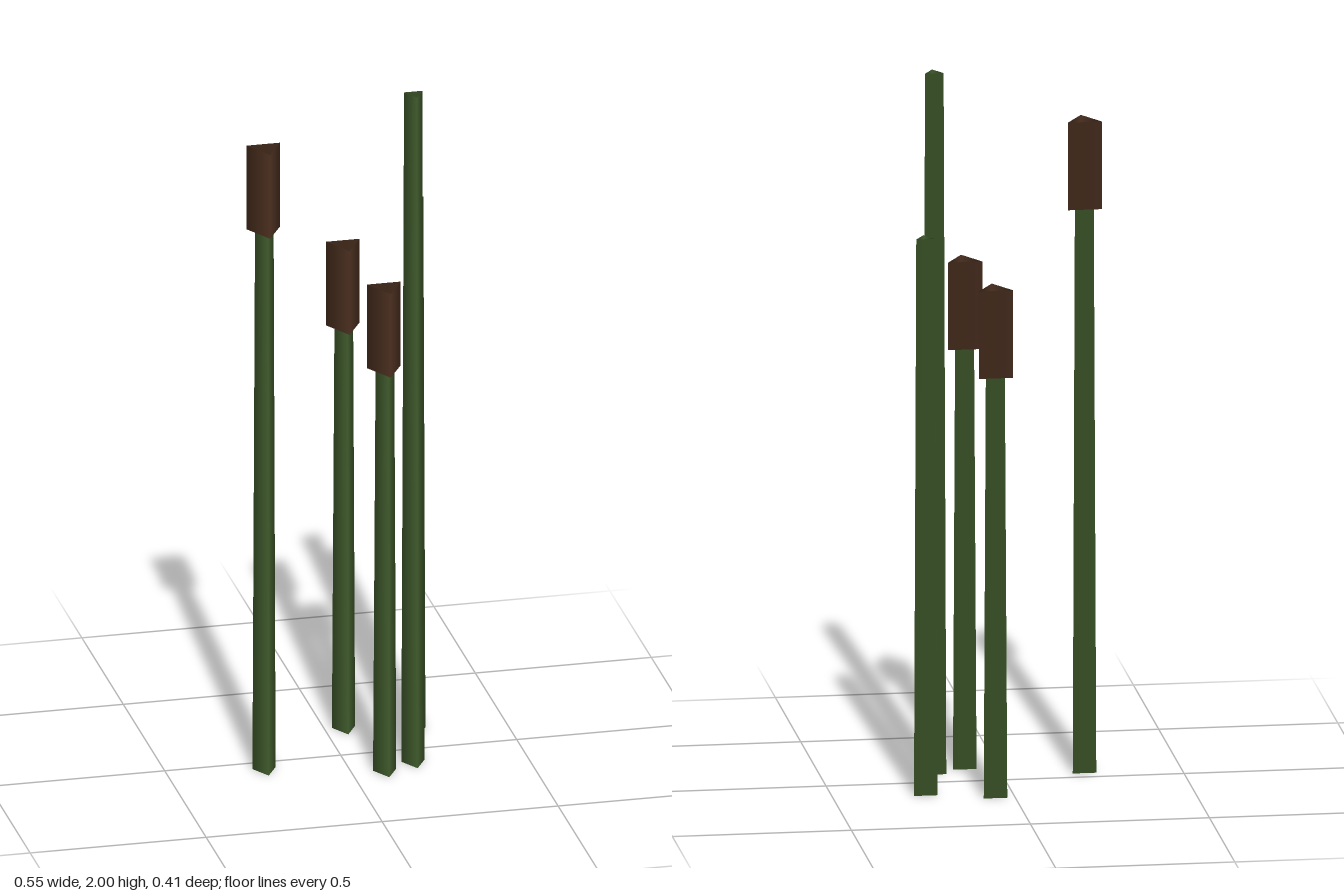
import * as THREE from 'three';

export function createModel() {
  const green = new THREE.MeshStandardMaterial({ color: 0x3f5a2b, side: THREE.DoubleSide });
  green.name = 'reed green';
  const brown = new THREE.MeshStandardMaterial({ color: 0x4a2e1e, side: THREE.DoubleSide });
  brown.name = 'seed head brown';

  const model = new THREE.Group();
  model.name = 'reeds';

  // open three-sided tube standing on its lower end
  function tube(name, bottomRadius, topRadius, y0, y1, material) {
    const geometry = new THREE.CylinderGeometry(topRadius, bottomRadius, y1 - y0, 3, 1, true);
    geometry.translate(0, (y0 + y1) / 2, 0);
    const mesh = new THREE.Mesh(geometry, material);
    mesh.name = name;
    return mesh;
  }

  // x, z, height, whether the reed carries a seed head
  const reeds = [
    [-0.228, 0.062, 1.735, true],
    [0.055, -0.181, 1.325, true],
    [0.094, 0.15, 1.325, true],
    [0.185, 0.104, 2.0, false],
    [0.242, -0.126, 1.587, false],
  ];

  for (const [x, z, height, hasHead] of reeds) {
    const reed = new THREE.Group();
    reed.name = hasHead ? 'cattail' : 'bareReed';
    reed.position.set(x, 0, z);
    reed.add(tube('stem', 0.038, 0.03, 0, height, green));
    if (hasHead) reed.add(tube('seedHead', 0.055, 0.055, height - 0.125, height + 0.125, brown));
    model.add(reed);
  }
  return model;
}
